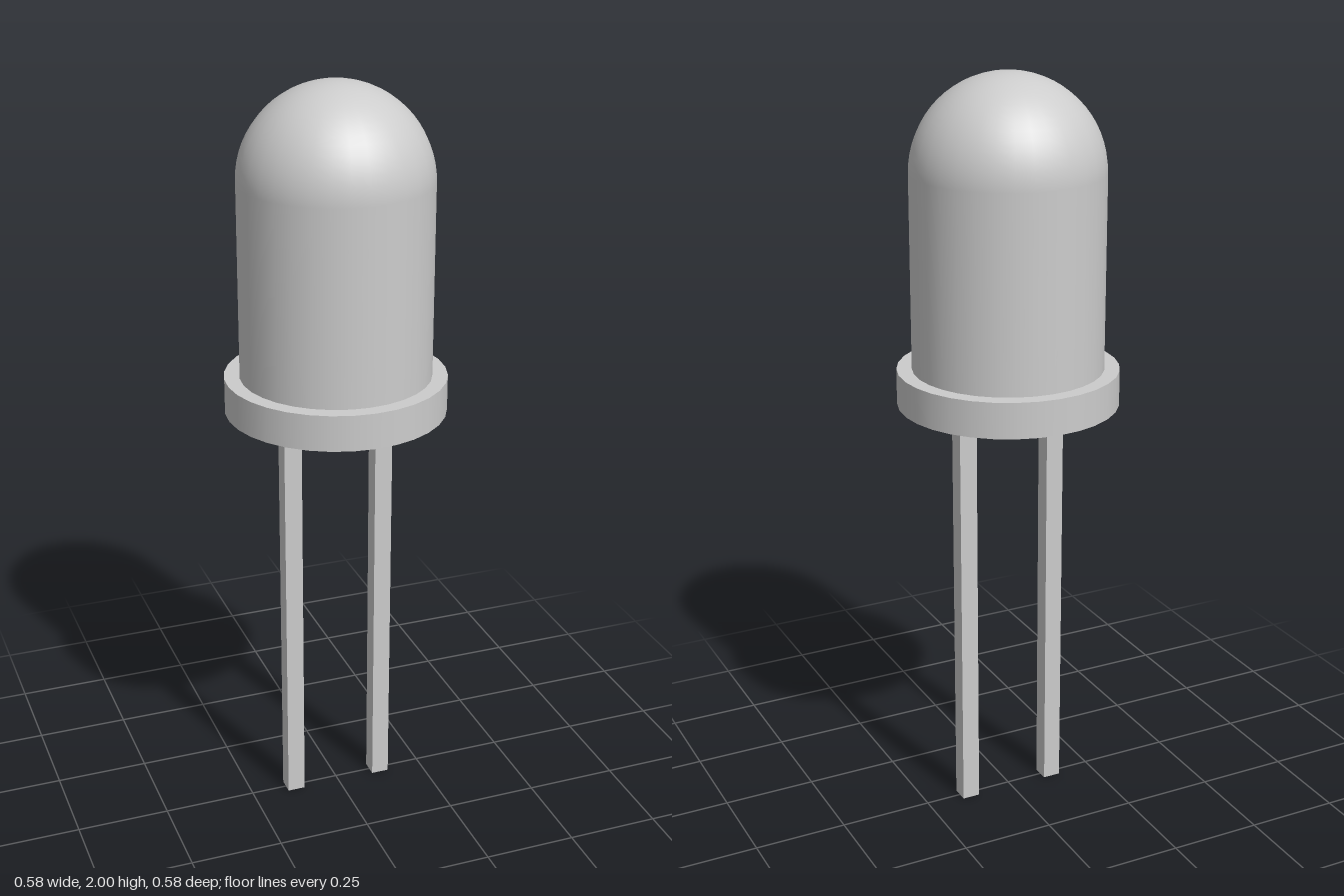
import * as THREE from 'three';

export function createModel() {
  const model = new THREE.Group();
  const grey = new THREE.MeshStandardMaterial({ color: 0xcccccc });
  grey.name = 'light grey';

  const add = (name, geometry, x, y) => {
    const mesh = new THREE.Mesh(geometry, grey);
    mesh.name = name;
    mesh.position.set(x, y, 0);
    model.add(mesh);
  };

  const sides = 32;
  const bodyRadius = 0.25, domeBase = 1.75;
  const flangeRadius = 0.29, flangeBottom = 1.145, flangeTop = 1.24;

  // Rounded lens on a straight cylindrical body
  add('dome', new THREE.SphereGeometry(bodyRadius, sides, 16, 0, Math.PI * 2, 0, Math.PI / 2), 0, domeBase);
  const bodyHeight = domeBase - flangeTop;
  add('body', new THREE.CylinderGeometry(bodyRadius, bodyRadius, bodyHeight, sides, 1, true), 0, flangeTop + bodyHeight / 2);

  // Wider rim at the base
  const flangeHeight = flangeTop - flangeBottom;
  add('flange', new THREE.CylinderGeometry(flangeRadius, flangeRadius, flangeHeight, sides), 0, flangeBottom + flangeHeight / 2);

  // Square wire legs
  for (const [name, side] of [['leftLeg', 1], ['rightLeg', -1]]) {
    add(name, new THREE.BoxGeometry(0.048, flangeBottom, 0.048), side * 0.127, flangeBottom / 2);
  }

  return model;
}
